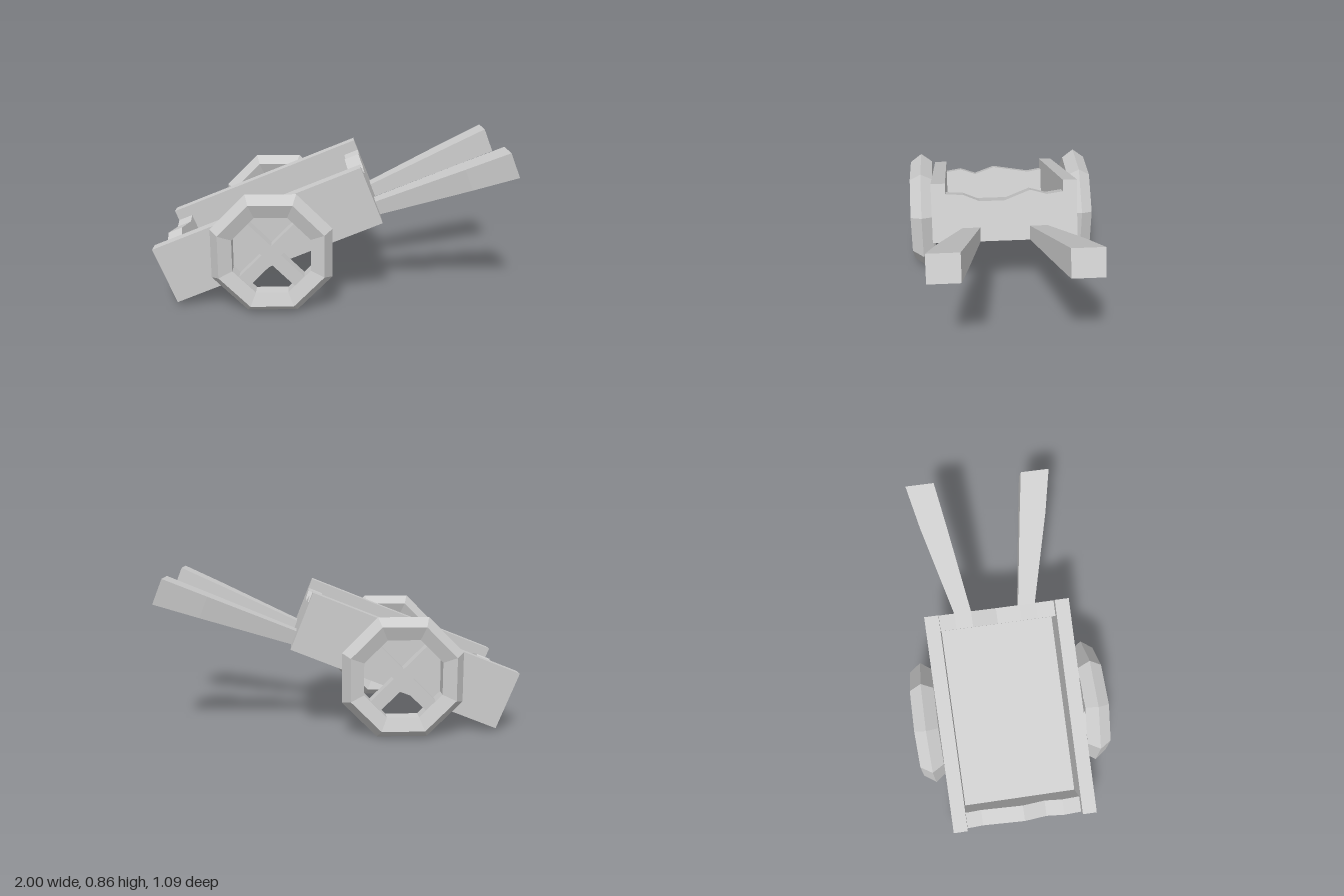
import * as THREE from 'three';

const material = new THREE.MeshStandardMaterial({ color: 0xcccccc, flatShading: true });

const LENGTH = 1.228, HEIGHT = 0.335, HALF_WIDTH = 0.41, BOARD = 0.08, END = 0.09;

function add(parent, name, geometry, x = 0, y = 0, z = 0) {
  const mesh = new THREE.Mesh(geometry, material);
  mesh.name = name;
  mesh.position.set(x, y, z);
  parent.add(mesh);
  return mesh;
}

// End board with a worn, wavy top edge given as [z, height] points
function endBoard(tops) {
  const shape = new THREE.Shape();
  const w = HALF_WIDTH - BOARD;
  shape.moveTo(-w, 0);
  shape.lineTo(w, 0);
  for (const [z, h] of tops) shape.lineTo(-z, h);
  const geometry = new THREE.ExtrudeGeometry(shape, { depth: END, bevelEnabled: false });
  return geometry.rotateY(Math.PI / 2);
}

// Handle that widens and bends outward: [along, bottom, top, inner z, outer z]
const HANDLE = [
  [1.225, 0.0, 0.08, 0.14, 0.24],
  [1.75, -0.024, 0.102, 0.218, 0.372],
  [2.003, -0.036, 0.111, 0.258, 0.424],
];

function handle(side) {
  const geometry = new THREE.BoxGeometry(2, 1, 1, 2, 1, 1);
  const p = geometry.attributes.position;
  for (let i = 0; i < p.count; i++) {
    const [u, bottom, top, inner, outer] = HANDLE[Math.round(p.getX(i)) + 1];
    const isOuter = p.getZ(i) * side > 0;
    p.setXYZ(i, u, p.getY(i) > 0 ? top : bottom, side * (isOuter ? outer : inner));
  }
  geometry.computeVertexNormals();
  return geometry;
}

// Eight-sided wheel with a five-sided rim section and crossed spokes
function wheel(name) {
  const group = new THREE.Group();
  group.name = name;
  const rim = new THREE.TorusGeometry(0.2865, 0.0705, 5, 8).rotateZ(Math.PI / 8);
  add(group, 'rim', rim);
  for (const angle of [Math.PI / 4, -Math.PI / 4]) {
    add(group, 'spoke', new THREE.BoxGeometry(0.46, 0.075, 0.07)).rotation.z = angle;
  }
  return group;
}

export function createModel() {
  const cart = new THREE.Group();
  cart.name = 'handcart';

  // Tilted bed: local x runs along the floor, origin at the lower rear edge
  const bed = new THREE.Group();
  bed.name = 'bed';
  bed.position.set(-0.875, 0.02, 0);
  bed.rotation.z = 0.3797;
  cart.add(bed);

  add(bed, 'floor', new THREE.BoxGeometry(LENGTH - 2 * END, 0.08, 2 * (HALF_WIDTH - BOARD)),
    LENGTH / 2, 0.04, 0);
  add(bed, 'rearBoard', endBoard([
    [-0.33, 0.27], [-0.24, 0.255], [-0.15, 0.27], [0, 0.295], [0.13, 0.25], [0.23, 0.285], [0.33, 0.27],
  ]));
  add(bed, 'frontBoard', endBoard([
    [-0.33, 0.27], [-0.24, 0.258], [-0.145, 0.285], [0, 0.23], [0.14, 0.23], [0.23, 0.268], [0.33, 0.275],
  ]), LENGTH - END);

  for (const side of [1, -1]) {
    const label = side > 0 ? 'front' : 'back';
    add(bed, label + 'SideBoard', new THREE.BoxGeometry(LENGTH, HEIGHT, BOARD),
      LENGTH / 2, HEIGHT / 2, side * (HALF_WIDTH - BOARD / 2));
    add(bed, label + 'Handle', handle(side));

    const w = wheel(label + 'Wheel');
    w.position.set(-0.34, 0.332, side * 0.48);
    cart.add(w);
  }
  return cart;
}
